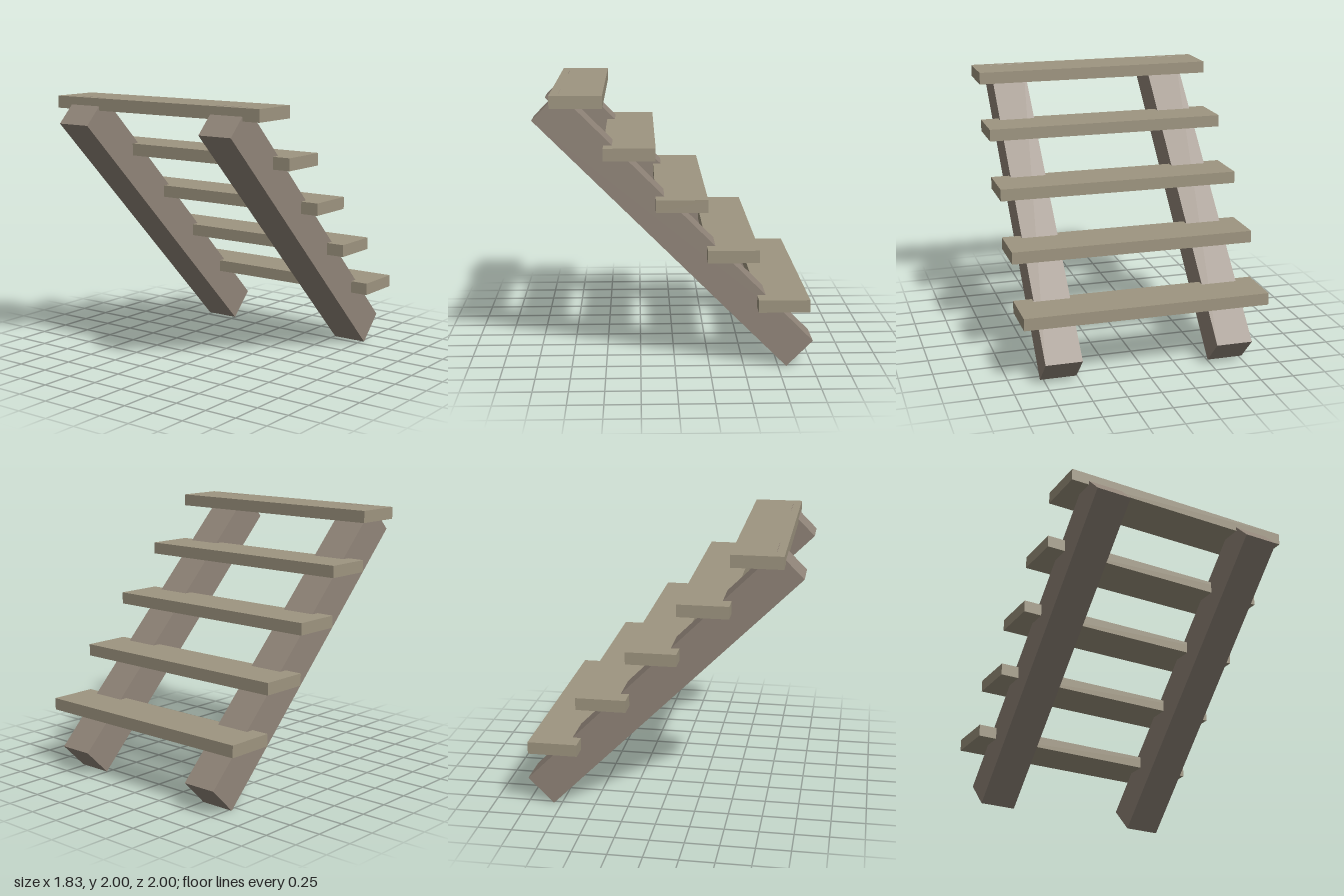
import * as THREE from 'three';

export function createModel() {
  const group = new THREE.Group();
  group.name = 'stairs';
  const beamMat = new THREE.MeshStandardMaterial({ color: 0x918579 });
  const treadMat = new THREE.MeshStandardMaterial({ color: 0x9e9580 });

  // Two square beams sloping at 45 degrees, high end to the front
  const beamGeo = new THREE.BoxGeometry(0.27, 0.27, 1.81 * Math.SQRT2);
  for (const [name, side] of [['leftStringer', 1], ['rightStringer', -1]]) {
    const beam = new THREE.Mesh(beamGeo, beamMat);
    beam.name = name;
    beam.position.set(side * 0.64, 1, 0);
    beam.rotation.x = -Math.PI / 4;
    group.add(beam);
  }

  // Five plank treads, each one depth further back and down
  const depth = 0.365;
  const treadGeo = new THREE.BoxGeometry(1.826, 0.09, depth);
  for (let i = 0; i < 5; i++) {
    const tread = new THREE.Mesh(treadGeo, treadMat);
    tread.name = `tread${i + 1}`;
    tread.position.set(0, 1.954 - i * depth, 0.687 - i * depth);
    group.add(tread);
  }
  return group;
}
